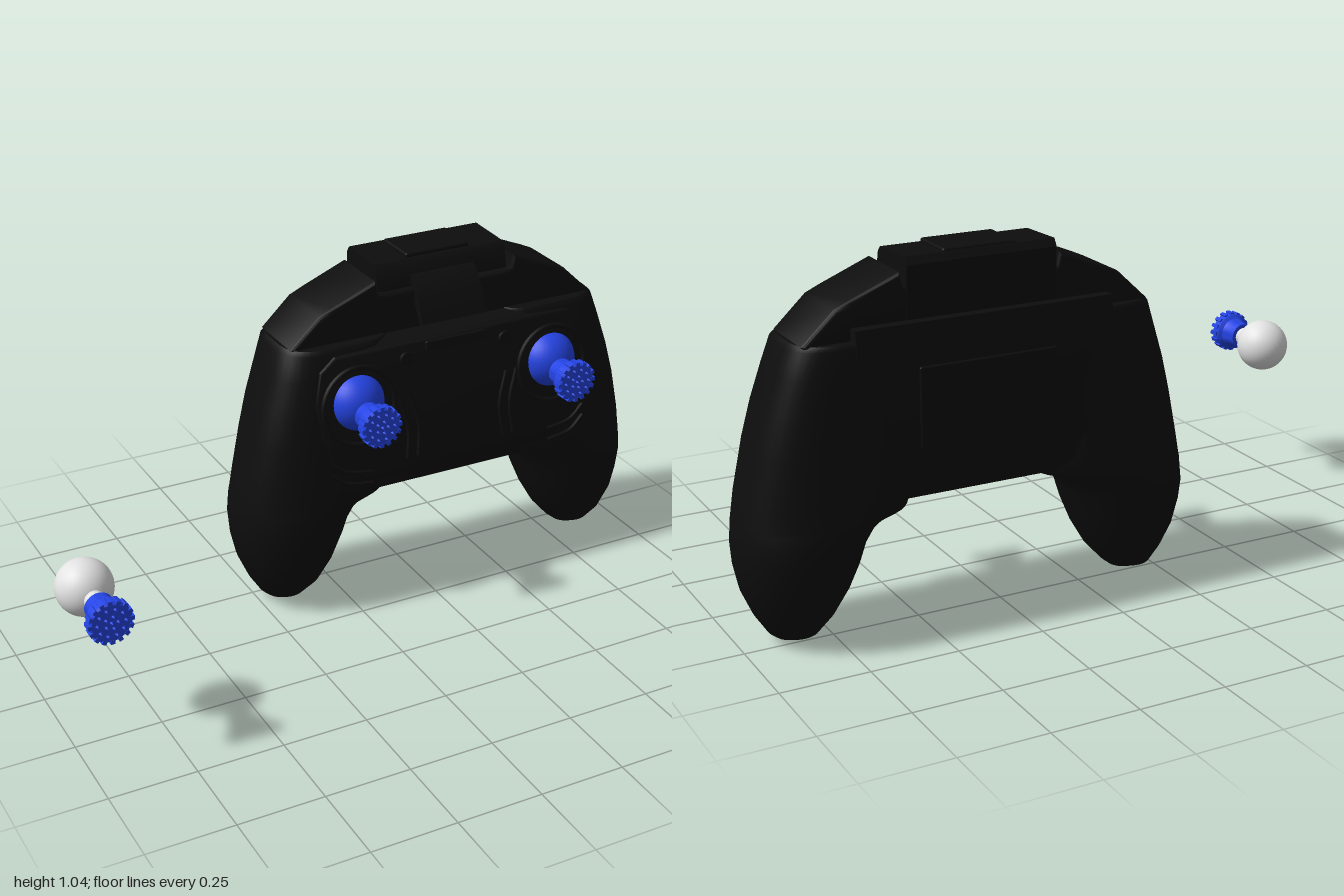
import * as THREE from 'three';
import { RoundedBoxGeometry } from 'three/addons/geometries/RoundedBoxGeometry.js';
import { toCreasedNormals } from 'three/addons/utils/BufferGeometryUtils.js';

const black = new THREE.MeshStandardMaterial({ name: 'black plastic', color: 0x0d0d0d });
const blue = new THREE.MeshStandardMaterial({ name: 'blue rubber', color: 0x2444e4 });
const white = new THREE.MeshStandardMaterial({ name: 'white plastic', color: 0xe2e2e2 });

function add(parent, name, geometry, material, x = 0, y = 0, z = 0) {
  const mesh = new THREE.Mesh(geometry, material);
  mesh.name = name;
  mesh.position.set(x, y, z);
  parent.add(mesh);
  return mesh;
}

const toShape = (pts) => new THREE.Shape(pts.map((p) => new THREE.Vector2(p[0], p[1])));

// Outline in x and y, extruded from z = back to z = front with a small bevel
function slab(pts, back, front, bevel) {
  const g = new THREE.ExtrudeGeometry(toShape(pts), {
    depth: front - back - 2 * bevel, bevelEnabled: true, bevelThickness: bevel,
    bevelSize: bevel, bevelOffset: -bevel, bevelSegments: 3,
  });
  return toCreasedNormals(g.translate(0, 0, back + bevel), 0.6);
}

// Side profile in z and y, extruded across the width
function sideProfile(pts, width) {
  const g = new THREE.ExtrudeGeometry(toShape(pts), { depth: width, bevelEnabled: false });
  return toCreasedNormals(g.translate(0, 0, -width / 2).rotateY(-Math.PI / 2), 0.6);
}

// Mirrors a half outline around x = 0
const mirrored = (half) => [...half, ...half.map(([x, y]) => [-x, y]).reverse()];

// Grip sections: y, inner x, outer x, back z, front z, squareness
const gripRows = [
  [0.0, 0.49, 0.53, -0.22, -0.19, 2], [0.01, 0.465, 0.557, -0.255, -0.165, 2],
  [0.03, 0.44, 0.58, -0.3, -0.13, 2], [0.08, 0.395, 0.612, -0.335, -0.085, 2],
  [0.15, 0.355, 0.642, -0.365, -0.056, 2.1], [0.22, 0.325, 0.657, -0.385, -0.04, 2.1],
  [0.28, 0.308, 0.66, -0.394, -0.032, 2.2], [0.32, 0.28, 0.657, -0.396, -0.03, 2.2],
  [0.345, 0.245, 0.654, -0.395, -0.03, 2.3], [0.36, 0.19, 0.651, -0.394, -0.03, 2.4],
  [0.42, 0.17, 0.64, -0.39, -0.03, 2.5], [0.55, 0.17, 0.61, -0.385, -0.038, 2.7],
  [0.65, 0.17, 0.582, -0.381, -0.052, 2.9], [0.75, 0.17, 0.548, -0.376, -0.068, 3.1],
  [0.82, 0.17, 0.524, -0.371, -0.085, 3.3], [0.832, 0.18, 0.51, -0.362, -0.095, 3.3],
];

function gripGeometry(side) {
  const n = 40, pos = [], index = [];
  const rows = [...gripRows, gripRows[gripRows.length - 1]];
  for (const [y, a, b, back, front, e] of rows) {
    for (let i = 0; i < n; i++) {
      const t = (i / n) * Math.PI * 2, c = Math.cos(t), s = Math.sin(t);
      const x = (a + b) / 2 + ((b - a) / 2) * Math.sign(c) * Math.abs(c) ** (2 / e);
      const z = (back + front) / 2 + ((front - back) / 2) * Math.sign(s) * Math.abs(s) ** (2 / e);
      pos.push(side * x, y, z);
    }
  }
  const tri = (a, b, c) => (side > 0 ? index.push(a, b, c) : index.push(a, c, b));
  const last = rows.length - 1, low = pos.length / 3, high = low + 1;
  pos.push(side * 0.51, 0, -0.205, side * 0.345, 0.832, -0.23);
  for (let i = 0; i < n; i++) {
    const j = (i + 1) % n;
    for (let r = 0; r < last - 1; r++) {
      const k = r * n, m = k + n;
      tri(k + i, m + i, k + j);
      tri(k + j, m + i, m + j);
    }
    tri(low, i, j);
    tri(high, last * n + j, last * n + i);
  }
  const g = new THREE.BufferGeometry();
  g.setAttribute('position', new THREE.Float32BufferAttribute(pos, 3));
  g.setIndex(index);
  g.computeVertexNormals();
  return g;
}

// Flared thumb knob along +z with a toothed rim and studs on its face
function makeKnob() {
  const knob = new THREE.Group();
  knob.name = 'thumbKnob';
  const profile = [[0, 0], [0.04, 0], [0.041, 0.03], [0.047, 0.05], [0.058, 0.058],
    [0.059, 0.085], [0.053, 0.092], [0, 0.092]].map((p) => new THREE.Vector2(...p));
  const body = new THREE.LatheGeometry(profile, 32).rotateX(Math.PI / 2);
  add(knob, 'knobBody', toCreasedNormals(body, 0.6), blue);
  for (let i = 0; i < 16; i++) {
    const t = (i / 16) * Math.PI * 2;
    const tooth = add(knob, 'rimTooth', new THREE.BoxGeometry(0.012, 0.012, 0.03), blue,
      0.057 * Math.cos(t), 0.057 * Math.sin(t), 0.078);
    tooth.rotation.z = t;
  }
  for (const [count, radius] of [[1, 0], [5, 0.018], [10, 0.039]]) {
    for (let i = 0; i < count; i++) {
      const t = (i / count) * Math.PI * 2;
      add(knob, 'faceStud', new THREE.ConeGeometry(0.006, 0.012, 8).rotateX(Math.PI / 2), blue,
        radius * Math.cos(t), radius * Math.sin(t), 0.096);
    }
  }
  return knob;
}

// Raised rib following a curve through a few points
function rib(points, radius) {
  const curve = new THREE.CatmullRomCurve3(points.map((p) => new THREE.Vector3(...p)));
  return new THREE.TubeGeometry(curve, 16, radius, 8);
}

export function createModel() {
  const model = new THREE.Group();
  model.name = 'controllerWithSpareStick';
  const controller = new THREE.Group();
  controller.name = 'controller';
  controller.position.x = 0.34;
  model.add(controller);

  // Central body between the grips
  add(controller, 'centreBody', sideProfile([
    [-0.06, 0.372], [-0.03, 0.4], [-0.035, 0.5], [-0.078, 0.81], [-0.1, 0.825], [-0.14, 0.832],
    [-0.335, 0.835], [-0.335, 0.866], [-0.368, 0.866], [-0.375, 0.82], [-0.377, 0.5],
    [-0.365, 0.42], [-0.33, 0.38], [-0.29, 0.37],
  ], 0.74), black);

  // Stepped shoulders
  add(controller, 'shoulders', slab(mirrored([
    [0.2, 0.78], [0.46, 0.78], [0.5, 0.832], [0.41, 0.917], [0.37, 0.935], [0.23, 0.992],
    [0.222, 0.955], [0.2, 0.95],
  ]), -0.337, -0.13, 0.012), black);

  // Top block with its lid and curled tongue
  add(controller, 'topBlock', sideProfile([
    [-0.145, 0.8], [-0.15, 0.95], [-0.165, 1.01], [-0.18, 1.025], [-0.33, 1.03],
    [-0.343, 1.01], [-0.335, 0.8],
  ], 0.43), black);
  add(controller, 'topLid', new RoundedBoxGeometry(0.21, 0.03, 0.14, 2, 0.006), black, 0, 1.022, -0.255);
  add(controller, 'tongue', sideProfile([
    [-0.16, 0.985], [-0.135, 0.965], [-0.108, 0.925], [-0.09, 0.885], [-0.078, 0.855],
    [-0.1, 0.852], [-0.112, 0.875], [-0.125, 0.895], [-0.133, 0.89], [-0.13, 0.84], [-0.16, 0.84],
  ], 0.21), black);

  // Sloping front plate; its local origin is the lower edge
  const plate = new THREE.Group();
  plate.name = 'frontPlate';
  plate.position.set(0, 0.41, -0.014);
  plate.rotation.x = -0.15;
  controller.add(plate);
  add(plate, 'plate', slab(mirrored([
    [0.17, 0], [0.32, 0.02], [0.41, 0.08], [0.45, 0.18], [0.46, 0.28], [0.44, 0.37], [0.39, 0.408],
  ]), -0.05, 0, 0.008), black);
  add(plate, 'displayBump', new RoundedBoxGeometry(0.2, 0.03, 0.012, 2, 0.005), black, 0, 0.385, 0);

  for (const s of [1, -1]) {
    const side = s > 0 ? 'left' : 'right';
    add(controller, side + 'Grip', gripGeometry(s), black);

    // Stick socket, menu button and trim ribs
    add(plate, side + 'Socket', new THREE.TorusGeometry(0.115, 0.009, 8, 40), black, s * 0.325, 0.25, -0.002);
    add(plate, side + 'Button', new THREE.CylinderGeometry(0.02, 0.022, 0.016, 20).rotateX(Math.PI / 2),
      black, s * 0.165, 0.36, 0.002);
    for (const d of [0, 0.035]) {
      add(plate, side + 'SideTrim', rib([[s * (0.145 + d), 0.06, 0], [s * (0.138 + d), 0.16, 0],
        [s * (0.165 + d), 0.26, 0]], 0.006), black);
      add(plate, side + 'LowerTrim', rib([[s * 0.3, 0.01 + d, 0], [s * 0.38, 0.025 + d, 0],
        [s * 0.43, 0.062 + d, -0.004]], 0.006), black);
    }

    // Blue dome and thumb knob
    add(controller, side + 'StickDome', new THREE.SphereGeometry(0.09, 32, 20), blue, s * 0.325, 0.662, -0.09);
    const knob = makeKnob();
    knob.position.set(s * 0.325, 0.65, -0.003);
    controller.add(knob);
  }

  // Rear door and lower vents
  add(controller, 'rearDoor', new RoundedBoxGeometry(0.4, 0.22, 0.012, 2, 0.005), black, 0, 0.64, -0.375);
  for (const z of [-0.14, -0.18, -0.22]) {
    add(controller, 'lowerVent', new THREE.BoxGeometry(0.14, 0.008, 0.014), black, 0, 0.37, z);
  }

  // Spare stick lying in front
  const spare = new THREE.Group();
  spare.name = 'spareStick';
  spare.position.set(-0.92, 0.448, 0.19);
  model.add(spare);
  add(spare, 'ball', new THREE.SphereGeometry(0.079, 32, 24), white);
  add(spare, 'shaft', new THREE.CylinderGeometry(0.028, 0.028, 0.06, 24).rotateX(Math.PI / 2), white, 0, 0, 0.095);
  const spareKnob = makeKnob();
  spareKnob.position.z = 0.108;
  spare.add(spareKnob);

  return model;
}
